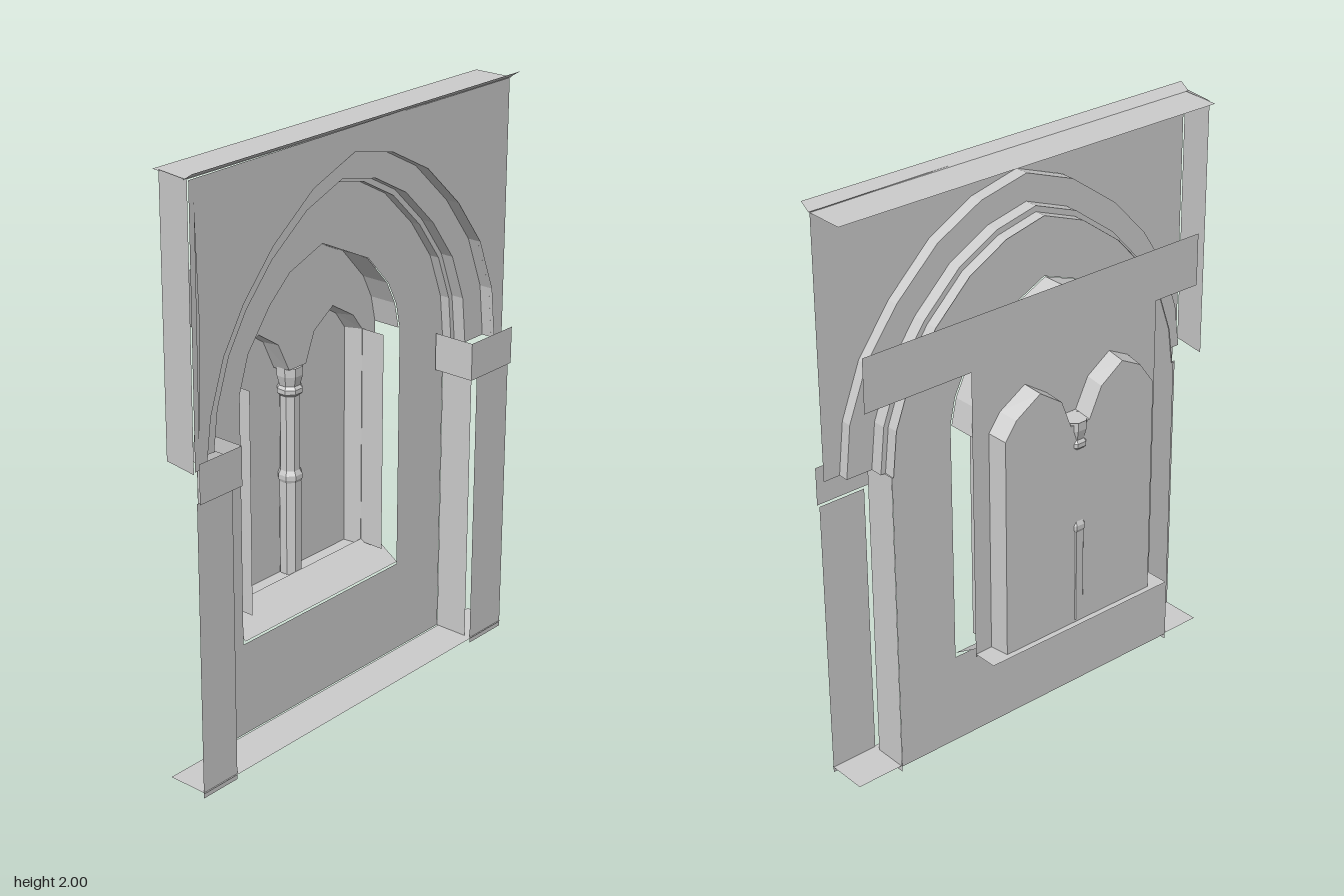
import * as THREE from 'three';

const mat = new THREE.MeshStandardMaterial({ color: 0xcccccc, flatShading: true, side: THREE.DoubleSide });

export function createModel() {
  const group = new THREE.Group();

  const add = (name, geometry, x = 0, y = 0, z = 0) => {
    const mesh = new THREE.Mesh(geometry, mat);
    mesh.name = name;
    mesh.position.set(x, y, z);
    group.add(mesh);
    return mesh;
  };
  const toVectors = (pts) => pts.map(([x, y]) => new THREE.Vector2(x, y));

  // Flat sheet facing the front, with optional openings
  const sheet = (name, outline, z, holes = []) => {
    const shape = new THREE.Shape(toVectors(outline));
    holes.forEach((h) => shape.holes.push(new THREE.Path(toVectors(h))));
    return add(name, new THREE.ShapeGeometry(shape), 0, 0, z);
  };

  // Band of quads joining two matching outlines at two depths
  const band = (name, a, za, b, zb) => {
    const pos = [];
    const index = [];
    a.forEach(([x, y], i) => {
      pos.push(x, y, za, b[i][0], b[i][1], zb);
      if (i) {
        const k = i * 2;
        index.push(k - 2, k, k - 1, k, k + 1, k - 1);
      }
    });
    const g = new THREE.BufferGeometry();
    g.setAttribute('position', new THREE.Float32BufferAttribute(pos, 3));
    g.setIndex(index);
    g.computeVertexNormals();
    return add(name, g);
  };
  const rect = (x0, y0, x1, y1) => [[x0, y0], [x1, y0], [x1, y1], [x0, y1]];
  const upright = (name, x, y0, y1, za, zb) => band(name, [[x, y0], [x, y1]], za, [[x, y0], [x, y1]], zb);

  // Great arch: one outline, scaled inward for each moulding step
  const spring = 1.1;
  const outer = [
    [-0.7, spring], [-0.68, 1.25], [-0.62, 1.42], [-0.53, 1.56], [-0.4, 1.7], [-0.22, 1.83], [-0.03, 1.9],
    [0.15, 1.86], [0.32, 1.77], [0.48, 1.62], [0.6, 1.46], [0.67, 1.28], [0.69, spring],
  ];
  const inset = (kx, ky) => outer.map(([x, y]) => [-0.012 + (x + 0.012) * kx, spring + (y - spring) * ky]);
  const middle = inset(0.865, 0.885);
  const inner = inset(0.84, 0.86);
  const reversed = (pts) => [...pts].reverse();

  // Upper wall around the arch, turned slightly so its right end sits deeper
  const upperWall = sheet('upperWall',
    [[-0.75, spring], ...outer, [0.75, spring], [0.75, 1.98], [-0.75, 1.98]], 0.143);
  upperWall.rotation.y = 0.0167;
  band('outerArchReveal', outer, 0.145, outer, 0.095);
  sheet('outerArchMoulding', [...outer, ...reversed(middle)], 0.095);
  band('middleArchReveal', middle, 0.095, middle, 0.05);
  sheet('innerArchMoulding', [...middle, ...reversed(inner)], 0.05);
  band('innerArchReveal', inner, 0.05, inner, 0.01);

  // Top edge with a raised front lip, left end and floor edge
  band('topLip', [[-0.75, 2], [0.75, 2]], 0.17, [[-0.75, 1.977], [0.75, 1.977]], 0.135);
  band('wallTop', [[-0.74, 1.977], [0.75, 1.977]], 0.14, [[-0.73, 1.977], [0.75, 1.977]], -0.005);
  band('wallEnd', [[-0.75, 1.09], [-0.75, 1.98]], 0.15, [[-0.73, 1.09], [-0.73, 1.98]], 0.02);
  sheet('wallEdgeSliver', [[-0.74, 1.15], [-0.725, 1.55], [-0.738, 1.92]], 0.163);
  band('floorEdge', [[-0.75, 0.02], [0.75, 0.02]], 0.165, [[-0.75, 0.02], [0.75, 0.02]], 0.02);

  // Recessed wall with the pointed window opening
  const windowArch = [
    [-0.41, 1.2], [-0.37, 1.32], [-0.27, 1.45], [-0.18, 1.53], [-0.03, 1.585],
    [0.19, 1.48], [0.29, 1.37], [0.33, 1.29], [0.35, 1.2],
  ];
  sheet('recessedWall', [[-0.6, 0.02], [0.58, 0.02], [0.58, spring], ...reversed(inner), [-0.6, spring]], 0.015,
    [[[-0.41, 0.345], ...windowArch, [0.35, 0.345]]]);
  band('windowArchReveal', windowArch, 0.01, windowArch, -0.09);
  band('slopingSill', [[-0.405, 0.357], [0.345, 0.357]], 0.02, [[-0.405, 0.43], [0.345, 0.43]], -0.09);

  // Pilasters with their returns, and open capitals
  for (const [outside, edge, capEdge] of [[-0.75, -0.6, -0.57], [0.75, 0.58, 0.535]]) {
    sheet('pilaster', rect(outside, 0, edge, 1.0), 0.16);
    upright('pilasterReturn', edge, 0, spring, 0.138, 0.016);
    sheet('capitalFront', rect(outside, 1.0, capEdge, 1.13), 0.172);
    upright('capitalSide', capEdge, 1.0, 1.13, 0.172, 0.02);
  }

  // Tracery with twin pointed lights joined above the colonette
  const lights = [
    [-0.35, 0.41], [-0.35, 1.19], [-0.29, 1.27], [-0.21, 1.31], [-0.12, 1.25], [-0.07, 1.15],
    [0.01, 1.15], [0.05, 1.25], [0.14, 1.31], [0.24, 1.25], [0.285, 1.19], [0.285, 0.41],
  ];
  const lightsBack = lights.map(([x, y]) => [-0.03 + (x + 0.03) * 0.97, y > 1 ? y - 0.008 : y]);
  sheet('tracery', [
    [-0.41, 0.4], [0.35, 0.4], [0.35, 1.42], [0.75, 1.42], [0.75, 1.6], [-0.59, 1.6], [-0.59, 1.42], [-0.41, 1.42],
  ], -0.09, [lights]);
  band('lightReveal', lights, -0.09, lightsBack, -0.157);
  sheet('backPane', lightsBack, -0.157);
  band('windowLedge', [[-0.405, 0.41], [0.35, 0.41]], -0.09, [[-0.405, 0.41], [0.35, 0.41]], -0.177);
  for (const x of [-0.35, 0.287]) upright('windowJamb', x, 0.42, 1.19, 0, -0.09);

  // Colonette between the lights
  const profile = [
    [0.038, 0.42], [0.038, 0.75], [0.042, 0.76], [0.042, 0.775], [0.034, 0.79], [0.034, 1.05],
    [0.044, 1.06], [0.044, 1.075], [0.036, 1.085], [0.045, 1.12], [0.045, 1.15],
  ];
  add('colonette', new THREE.LatheGeometry(toVectors(profile), 8, Math.PI / 8), -0.03, 0, -0.125);

  return group;
}
